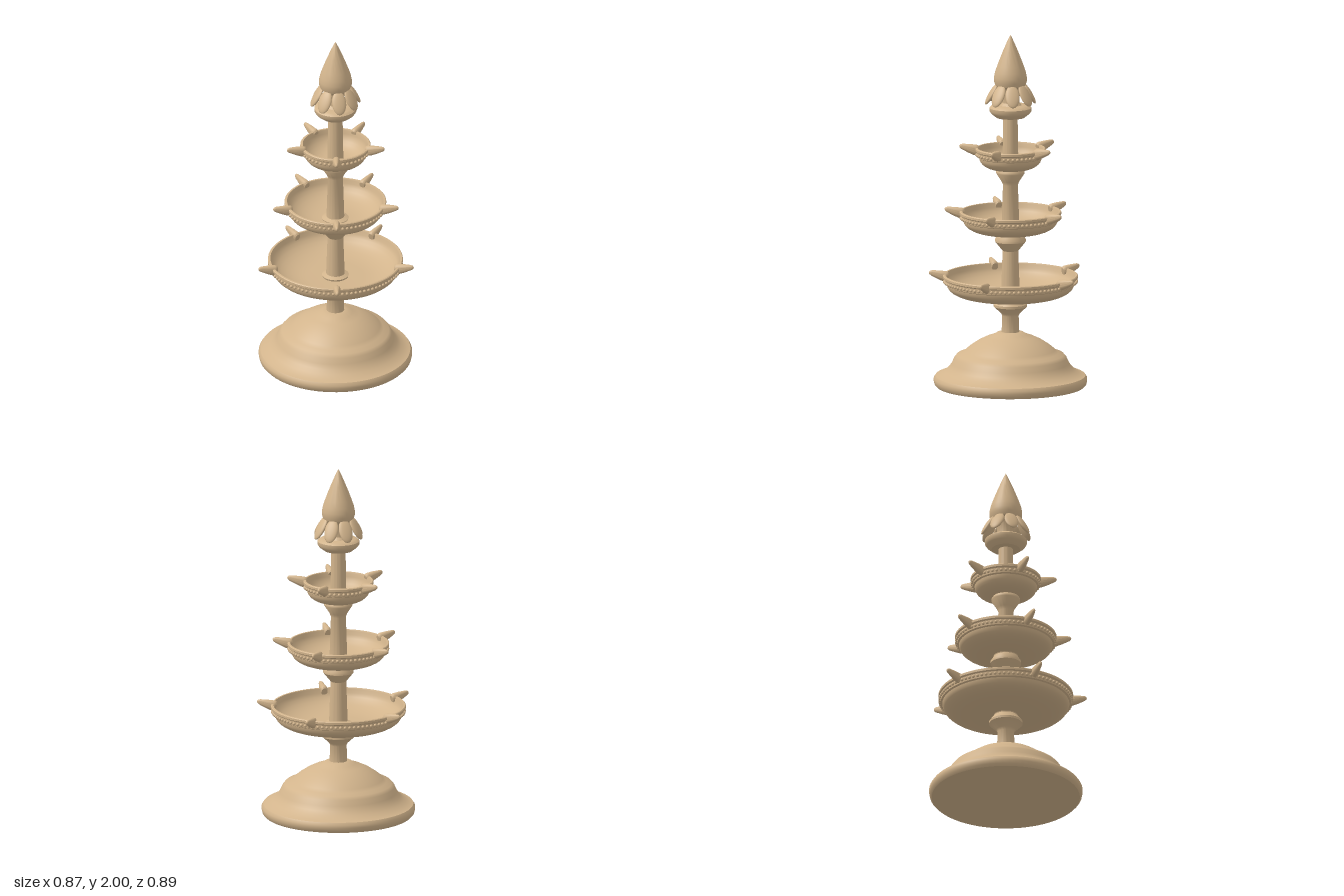
import * as THREE from 'three';
import { toCreasedNormals } from 'three/addons/utils/BufferGeometryUtils.js';

const AXIS_X = -0.003, AXIS_Z = 0.013;

// Turned shape from [radius, height] pairs, with sharp edges kept
function turned(pairs, segments = 72) {
  const points = pairs.map(([r, y]) => new THREE.Vector2(r, y));
  return toCreasedNormals(new THREE.LatheGeometry(points, segments), 0.6);
}

export function createModel() {
  const model = new THREE.Group();
  model.name = 'fountain';
  const body = new THREE.Group();
  body.name = 'fountainBody';
  body.position.set(AXIS_X, 0, AXIS_Z);
  model.add(body);

  const stone = new THREE.MeshStandardMaterial({ color: 0xd2b48c });
  stone.name = 'sandstone';

  const add = (name, geometry, parent = body) => {
    const mesh = new THREE.Mesh(geometry, stone);
    mesh.name = name;
    parent.add(mesh);
    return mesh;
  };

  // Stepped dome on a round plinth
  add('base', turned([
    [0, 0], [0.415, 0], [0.426, 0.012], [0.43, 0.03], [0.43, 0.045], [0.42, 0.06],
    [0.4, 0.066], [0.367, 0.085], [0.345, 0.105], [0.328, 0.13], [0.315, 0.16], [0.3, 0.178],
    [0.268, 0.188], [0.25, 0.205], [0.222, 0.228], [0.18, 0.256], [0.135, 0.278],
    [0.095, 0.292], [0.075, 0.304], [0.05, 0.308], [0, 0.308],
  ]));

  // Column with a flared knob under each bowl
  add('column', turned([
    [0.05, 0.3], [0.046, 0.4], [0.054, 0.415], [0.094, 0.452], [0.094, 0.465], [0.066, 0.5], [0.075, 0.53],
    [0.052, 0.54], [0.044, 0.77], [0.054, 0.782], [0.086, 0.822], [0.086, 0.836], [0.068, 0.865], [0.075, 0.89],
    [0.05, 0.9], [0.042, 1.145], [0.05, 1.165], [0.08, 1.212], [0.08, 1.222], [0.068, 1.24],
    [0.045, 1.255], [0.04, 1.54],
  ], 48));

  // Small cup and neck under the flower
  add('topCup', turned([
    [0, 1.53], [0.08, 1.53], [0.108, 1.552], [0.118, 1.567], [0.118, 1.585],
    [0.11, 1.592], [0.1, 1.598], [0.062, 1.6], [0.05, 1.615], [0.05, 1.68], [0.07, 1.71],
  ], 48));

  // Bud finial
  add('bud', turned([
    [0, 1.69], [0.06, 1.695], [0.084, 1.712], [0.092, 1.735], [0.092, 1.76], [0.086, 1.79],
    [0.074, 1.825], [0.059, 1.865], [0.043, 1.905], [0.024, 1.95], [0.008, 1.985], [0, 2],
  ], 48));

  // Ring of drooping petals
  const petalGeometry = new THREE.SphereGeometry(1, 20, 14);
  petalGeometry.scale(0.04, 0.068, 0.015);
  petalGeometry.rotateX(-0.53);
  petalGeometry.translate(0, 1.665, 0.106);
  const petals = new THREE.Group();
  petals.name = 'petals';
  body.add(petals);
  for (let i = 0; i < 8; i++) {
    add('petal', petalGeometry, petals).rotation.y = (i * Math.PI) / 4;
  }

  // Tapered spout, taller than wide, tilted up and outward
  const spoutGeometry = turned([
    [0, 0], [0.016, 0.001], [0.021, 0.008], [0.022, 0.02], [0.018, 0.055],
    [0.011, 0.098], [0.007, 0.109], [0, 0.114],
  ], 16);
  spoutGeometry.scale(1, 1, 1.4);
  spoutGeometry.rotateX(Math.PI / 2 - 0.26);
  const beadGeometry = new THREE.SphereGeometry(0.009, 8, 6);

  // Bowls: rim radius, rim height, depth, floor radius, bead count, spout tip radius
  const tiers = [
    { name: 'lowerBowl', r: 0.378, top: 0.632, depth: 0.127, floor: 0.2, beads: 90, tip: 0.458 },
    { name: 'middleBowl', r: 0.285, top: 0.995, depth: 0.125, floor: 0.11, beads: 68, tip: 0.37 },
    { name: 'upperBowl', r: 0.197, top: 1.355, depth: 0.122, floor: 0.07, beads: 46, tip: 0.288 },
  ];
  for (const { name, r, top, depth, floor, beads, tip } of tiers) {
    const tier = new THREE.Group();
    tier.name = name;
    body.add(tier);

    const bottom = top - depth, shoulder = top - 0.055;
    const rimFoot = r - 0.022, outer = [], inner = [];
    for (let i = 0; i <= 8; i++) {
      const a = (i / 8) * Math.PI / 2;
      const s = Math.sin(a), c = 1 - Math.cos(a);
      outer.push([floor + (rimFoot - floor) * s, bottom + (shoulder - bottom) * c]);
      inner.unshift([floor * 0.8 + (r - 0.017 - floor * 0.8) * s, bottom + 0.015 + (depth - 0.022) * c]);
    }
    add('bowl', turned([
      [0, bottom], ...outer, [r - 0.012, top - 0.05], [r - 0.008, top - 0.022],
      [r, top - 0.016], [r, top - 0.004], [r - 0.004, top], [r - 0.014, top],
      ...inner, [0, bottom + 0.015],
    ]), tier);

    // Bead moulding below the rim
    const beadRing = new THREE.InstancedMesh(beadGeometry, stone, beads);
    beadRing.name = 'beadRing';
    for (let i = 0; i < beads; i++) {
      const a = (i / beads) * Math.PI * 2;
      beadRing.setMatrixAt(i, new THREE.Matrix4().makeTranslation(
        Math.sin(a) * (r - 0.008), top - 0.036, Math.cos(a) * (r - 0.008)));
    }
    tier.add(beadRing);

    // Five spouts around the rim, one straight back
    for (let i = 0; i < 5; i++) {
      const arm = new THREE.Group();
      arm.name = 'spoutArm';
      arm.rotation.y = Math.PI - 0.015 + (i * Math.PI * 2) / 5;
      tier.add(arm);
      add('spout', spoutGeometry, arm).position.set(0, top - 0.019, tip - 0.11);
    }
  }
  return model;
}
